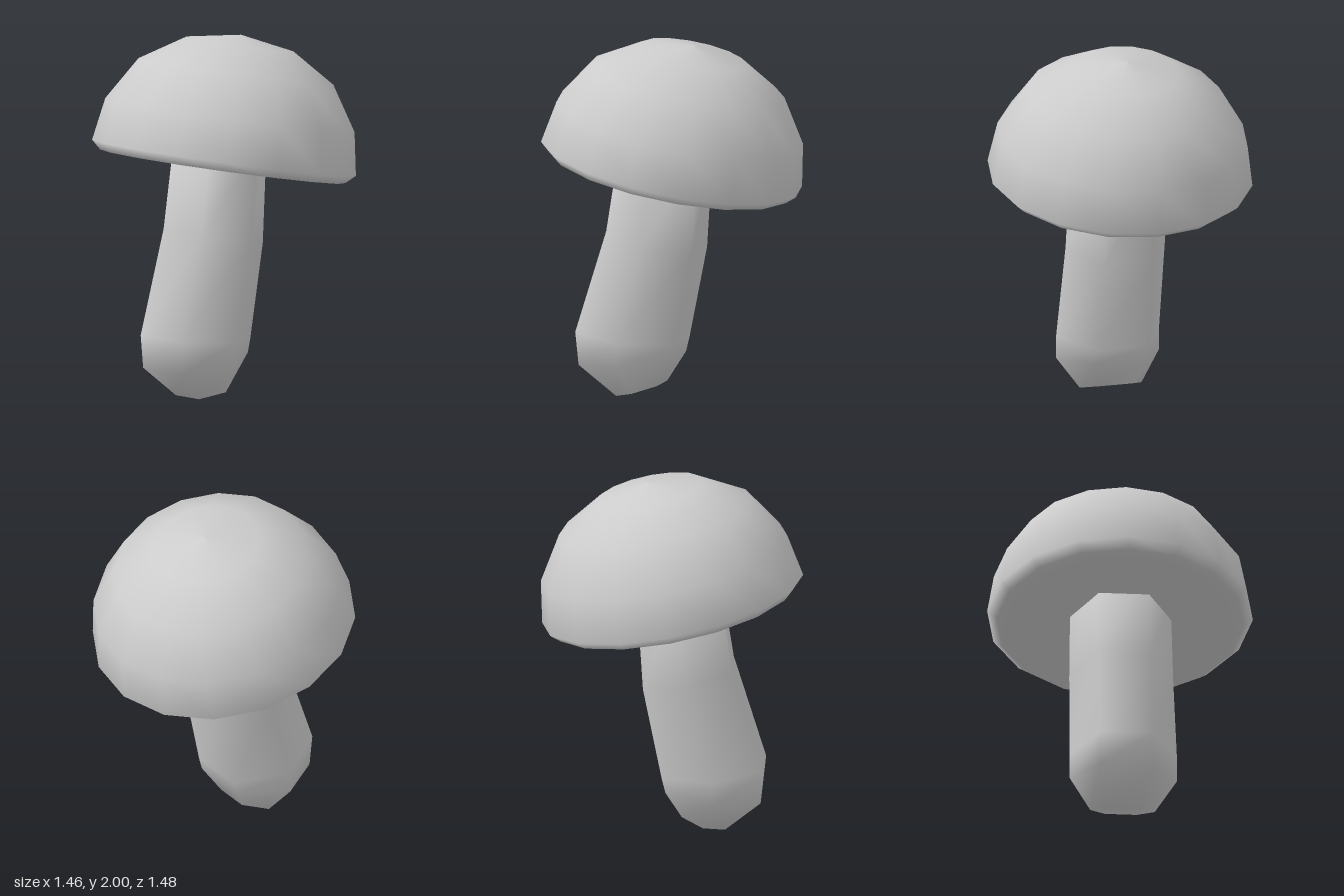
import * as THREE from 'three';

const material = new THREE.MeshStandardMaterial({ color: 0xcccccc });

// Skins a row of six-sided rings, each given by its left and right edge in x/y and its half depth
function hexTube(rings) {
  const n = 6, pos = [], index = [];
  for (const [lx, ly, rx, ry, depth] of rings) {
    for (let k = 0; k < n; k++) {
      const a = Math.PI / 6 + (k * Math.PI) / 3;
      const t = 0.5 + (0.5 * Math.cos(a)) / Math.cos(Math.PI / 6);
      pos.push(lx + (rx - lx) * t, ly + (ry - ly) * t, depth * Math.sin(a));
    }
  }
  for (let r = 0; r < rings.length - 1; r++) {
    for (let k = 0; k < n; k++) {
      const i = r * n + k, j = r * n + ((k + 1) % n);
      index.push(i, i + n, j, j, i + n, j + n);
    }
  }
  // End faces
  const last = (rings.length - 1) * n;
  for (let k = 1; k < n - 1; k++) {
    index.push(0, k, k + 1, last, last + k + 1, last + k);
  }
  const geometry = new THREE.BufferGeometry();
  geometry.setAttribute('position', new THREE.Float32BufferAttribute(pos, 3));
  geometry.setIndex(index);
  geometry.computeVertexNormals();
  return geometry;
}

export function createModel() {
  const model = new THREE.Group();
  model.name = 'mushroom';

  // Bent stem with a tapered foot
  const stem = new THREE.Mesh(hexTube([
    [-0.30, 0.0, -0.06, 0.07, 0.18],
    [-0.50, 0.175, 0.03, 0.23, 0.30],
    [-0.52, 0.36, 0.05, 0.31, 0.30],
    [-0.34, 0.94, 0.155, 0.83, 0.29],
    [-0.26, 1.45, 0.19, 1.37, 0.28],
  ]), material);
  stem.name = 'stem';
  model.add(stem);

  // Domed cap with a flat underside, tilted on the stem
  const profile = [
    [0, 0], [0.6, 0], [0.689, 0], [0.741, 0.048], [0.7, 0.288],
    [0.547, 0.533], [0.301, 0.687], [0, 0.739],
  ].map(([r, y]) => new THREE.Vector2(r, y));
  const cap = new THREE.Mesh(new THREE.LatheGeometry(profile, 16), material);
  cap.name = 'cap';
  cap.position.set(-0.015, 1.268, 0);
  cap.rotation.z = THREE.MathUtils.degToRad(-11.5);
  model.add(cap);

  return model;
}
